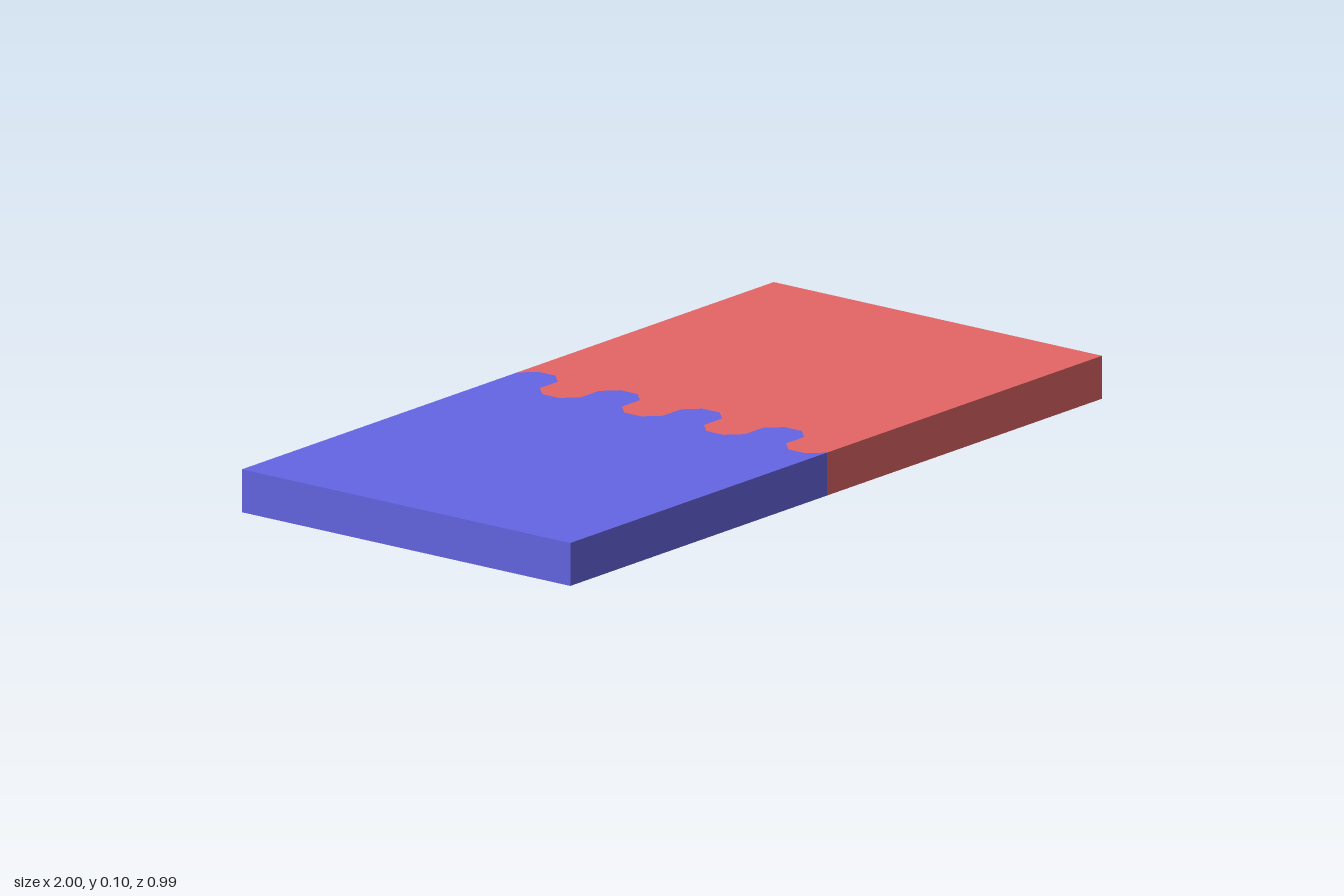
import * as THREE from 'three';

const HALF_LENGTH = 1, HALF_WIDTH = 0.493, HEIGHT = 0.105;
const TEETH = 8;                                 // alternating teeth along the seam
const REACH = 0.07, NECK = 0.034, CHAMFER = 0.036;

// Seam from back (-z) to front (+z): octagonal teeth pointing to +x and -x in turn
function seamPoints() {
  const step = (2 * HALF_WIDTH) / TEETH;
  const points = [];
  for (let i = 0; i < TEETH; i++) {
    const side = i % 2 === 0 ? 1 : -1;
    const z0 = -HALF_WIDTH + i * step, z1 = z0 + step;
    points.push(
      [side * NECK, z0], [side * REACH, z0 + CHAMFER],
      [side * REACH, z1 - CHAMFER], [side * NECK, z1]
    );
  }
  return points;
}

// One half of the slab: the seam closed by the outer end at x = side
function makeHalf(name, side, color) {
  const outline = [
    ...seamPoints(),
    [side * HALF_LENGTH, HALF_WIDTH],
    [side * HALF_LENGTH, -HALF_WIDTH]
  ].map(([x, z]) => new THREE.Vector2(x, -z));
  const geometry = new THREE.ExtrudeGeometry(new THREE.Shape(outline), {
    depth: HEIGHT, bevelEnabled: false
  });
  geometry.rotateX(-Math.PI / 2);                // extrude upward
  const mesh = new THREE.Mesh(geometry, new THREE.MeshStandardMaterial({ color }));
  mesh.name = name;
  return mesh;
}

export function createModel() {
  const model = new THREE.Group();
  model.name = 'interlockingSlab';
  model.add(makeHalf('blueHalf', -1, 0x6666e5));
  model.add(makeHalf('redHalf', 1, 0xe56666));
  return model;
}
